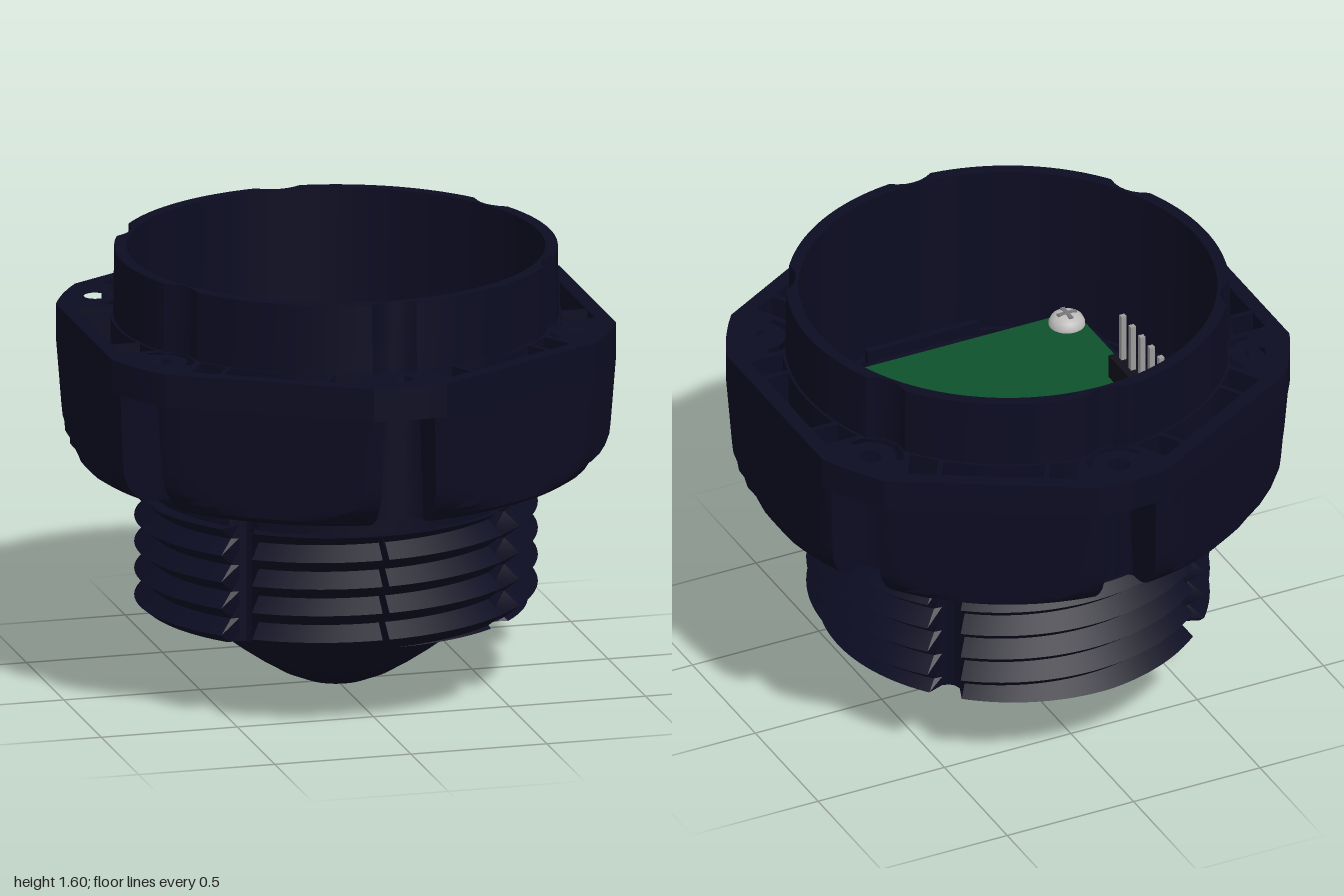
import * as THREE from 'three';
import { toCreasedNormals } from 'three/addons/utils/BufferGeometryUtils.js';

const mat = (name, color) => Object.assign(new THREE.MeshStandardMaterial({ color }), { name });
const RAD = Math.PI / 180;
const HEX = 0.925;      // centre to hexagon flat
const BOLT = 0.8825;    // bolt circle radius
const polar = (r, a, y) => [r * Math.sin(a), y, r * Math.cos(a)];
const degrees = (step) => Array.from({ length: 360 / step }, (_, i) => i * step * RAD);

// Skin closed cross-sections; rings run anticlockwise seen from above
function loft(rings, crease = 0.5) {
  const n = rings[0].length, index = [];
  for (let j = 0; j < rings.length - 1; j++) {
    for (let i = 0; i < n; i++) {
      const a = j * n + i, b = j * n + (i + 1) % n;
      index.push(a, b, b + n, a, b + n, a + n);
    }
  }
  const g = new THREE.BufferGeometry();
  g.setAttribute('position', new THREE.Float32BufferAttribute(rings.flat(2), 3));
  g.setIndex(index);
  return toCreasedNormals(g, crease);
}

// Hexagon with its corners rounded off by a unit circle; f is degrees from a corner
const hexRadius = (f) => Math.min(1, HEX / Math.cos((f - 30) * RAD));

// One level of the flange skirt, with a bolt channel at each corner
function skirtRing(y) {
  const t = (y - 0.8) / 0.43;
  const draft = 0.98 + 0.02 * t;
  const k = Math.min(1, Math.max(0, (0.98 - y) / 0.18));
  const round = 0.8 + 0.18 * Math.sqrt(Math.max(0, 1 - k * k)) + (y > 0.98 ? 0.02 * (y - 0.98) / 0.25 : 0);
  const radius = (f) => Math.min(hexRadius(f) * draft, round);
  const half = 0.105 - 0.015 * t;
  const edge = Math.asin(half / radius(0)) / RAD;
  const ring = [];
  for (let s = 0; s < 6; s++) {
    const a0 = s * 60 * RAD;
    for (const u of [-1, -0.8, -0.4, 0, 0.4, 0.8, 1]) {
      const x = u * half, d = 0.785 - 0.025 * Math.sqrt(1 - u * u);
      ring.push(polar(Math.hypot(x, d), a0 + Math.atan2(x, d), y));
    }
    for (const f of [edge, 7.67, 11, 15, 19, 23, 27, 30, 33, 37, 41, 45, 49, 52.33, 60 - edge]) {
      ring.push(polar(radius(f), a0 + f * RAD, y));
    }
  }
  return ring;
}

// Flange plate with bolt holes, crescents and ribbed pockets
function plateGeometry() {
  const v = (r, a) => new THREE.Vector2(r * Math.sin(a), r * Math.cos(a));
  const outline = [];
  for (let s = 0; s < 6; s++) {
    for (const f of [-7.67, -4, 0, 4, 7.67]) outline.push(v(hexRadius(Math.abs(f)), (s * 60 + f) * RAD));
  }
  const shape = new THREE.Shape(outline);
  const hole = (pts) => shape.holes.push(new THREE.Path(pts));
  hole(degrees(4).map((a) => v(0.745, a)));
  for (let s = 0; s < 6; s++) {
    const a0 = s * 60 * RAD, c = v(BOLT, a0);
    hole(degrees(15).map((a) => v(0.04, a).add(c)));
    const arc = [-70, -45, -20, 0, 20, 45, 70].map((d) => a0 + Math.PI + d * RAD);
    hole([...arc.map((a) => v(0.12, a).add(c)), ...arc.reverse().map((a) => v(0.095, a).add(c))]);
    for (const [from, to] of [[-0.3, -0.2], [-0.18, 0.18], [0.2, 0.3]]) {
      const pts = [];
      for (let i = 0; i <= 6; i++) {
        const w = from + (to - from) * i / 6;
        pts.push([Math.sqrt(0.64 - w * w), w]);
      }
      pts.push([0.87, to], [0.87, from]);
      hole(pts.map(([d, w]) => v(Math.hypot(d, w), a0 + 30 * RAD + Math.atan2(w, d))));
    }
  }
  return new THREE.ExtrudeGeometry(shape, { depth: 0.12, bevelEnabled: false })
    .rotateX(-Math.PI / 2).translate(0, 1.23, 0);
}

// Collar radius, hollowed where it passes each bolt
function collarRadius(a) {
  const f = a - Math.round(a / (60 * RAD)) * 60 * RAD;
  const q = 0.125 ** 2 - (BOLT * Math.sin(f)) ** 2;
  return q > 0 ? Math.min(0.79, BOLT * Math.cos(f) - Math.sqrt(q)) : 0.79;
}

function collarGeometry() {
  const angles = degrees(2);
  const ring = (r, y) => angles.map((a) => polar(r, a, y));
  return loft([
    angles.map((a) => polar(collarRadius(a), a, 1.34)),
    angles.map((a) => polar(collarRadius(a) - 0.004, a, 1.6)),
    // inner wall, then the grooved floor down to the well
    ...[[0.742, 1.6], [0.742, 0.95], [0.725, 0.95], [0.725, 0.9], [0.695, 0.9], [0.695, 0.95],
      [0.65, 0.95], [0.65, 0.9], [0.61, 0.9], [0.6, 0.5], [0.001, 0.5]].map(([r, y]) => ring(r, y)),
  ]);
}

// Helical thread broken by four upright slots
function threadGeometry() {
  const pitch = 0.098, angles = degrees(2), rings = [];
  const slot = (r, a) => {
    const d = (((a / RAD) % 90) - 45) / 4.5;
    return Math.abs(d) < 1 ? Math.min(r, 0.62 + 0.035 * d * d) : r;
  };
  const tooth = (a, y) => {
    const f = y / pitch - a / (2 * Math.PI);
    return 0.655 + 0.06 * (1 - Math.abs(2 * (f - Math.floor(f)) - 1));
  };
  rings.push(angles.map((a) => polar(0.5, a, 0.295)));
  for (let j = 3; j <= 16; j++) {
    rings.push(angles.map((a) => {
      const y = THREE.MathUtils.clamp(pitch * (a / (2 * Math.PI) + j / 2), 0.295, 0.72);
      return polar(slot(tooth(a, y), a), a, y);
    }));
  }
  for (const y of [0.72, 0.81]) rings.push(angles.map((a) => polar(slot(0.665, a), a, y)));
  return loft(rings);
}

export function createModel() {
  const housing = mat('housing navy', 0x0c0c22);
  const board = mat('board green', 0x0f512c);
  const black = mat('connector black', 0x12101a);
  const steel = mat('steel', 0xbdbcba);
  const recess = mat('recess grey', 0x77777a);
  const pinMetal = mat('pin grey', 0x9a9a9c);
  const root = new THREE.Group();
  const add = (name, geo, material, x = 0, y = 0, z = 0, parent = root) => {
    const m = new THREE.Mesh(geo, material);
    m.name = name;
    m.position.set(x, y, z);
    parent.add(m);
    return m;
  };
  const lathe = (pts, seg) => new THREE.LatheGeometry(pts.map((p) => new THREE.Vector2(...p)), seg);

  // Housing
  const flat = (r, y) => skirtRing(1.2).map(([x, , z]) => polar(r, Math.atan2(x, z), y));
  const levels = [0.8, 0.806, 0.82, 0.84, 0.87, 0.9, 0.94, 0.98, 1.1, 1.23];
  add('flangeSkirt', loft([flat(0.6, 0.8), ...levels.map(skirtRing), flat(0.745, 1.23)]), housing);
  add('flangePlate', plateGeometry(), housing);
  add('collar', collarGeometry(), housing);
  add('threadedNeck', threadGeometry(), housing);
  add('dome', lathe([[0, 0], [0.06, 0.004], [0.12, 0.018], [0.2, 0.052], [0.28, 0.1], [0.36, 0.155],
    [0.45, 0.222], [0.54, 0.295], [0.56, 0.31]], 72), housing);

  // Supports around the board
  for (let i = 0; i < 4; i++) {
    const side = new THREE.Group();
    side.name = 'boardSupport';
    side.rotation.y = i * Math.PI / 2;
    root.add(side);
    add('rail', new THREE.BoxGeometry(0.86, 0.1, 0.03), housing, 0, 0.95, 0.55, side);
    add('rib', new THREE.BoxGeometry(0.44, 0.05, 0.025), housing, 0, 0.97, 0.685, side);
  }

  // Circuit board with clipped corners
  const b = 0.525, c = 0.48;
  const outline = [[c, -b], [b, -c], [b, c], [c, b], [-c, b], [-b, c], [-b, -c], [-c, -b]];
  const boardShape = new THREE.Shape(outline.map((p) => new THREE.Vector2(...p)));
  add('circuitBoard', new THREE.ExtrudeGeometry(boardShape, { depth: 0.05, bevelEnabled: false })
    .rotateX(-Math.PI / 2), board, 0, 0.99, 0);

  // Corner screws on posts
  const head = lathe([[0.065, 0], [0.065, 0.012], [0.056, 0.03], [0.04, 0.041], [0.02, 0.046], [0, 0.047]], 28);
  for (const x of [-0.463, 0.463]) {
    for (const z of [-0.463, 0.463]) {
      add('screwPost', new THREE.CylinderGeometry(0.06, 0.06, 0.1, 20), housing, x, 0.94, z);
      add('screwHead', head, steel, x, 1.04, z);
      add('screwSlot', new THREE.BoxGeometry(0.074, 0.008, 0.016), recess, x, 1.084, z);
      add('screwSlot', new THREE.BoxGeometry(0.016, 0.008, 0.074), recess, x, 1.0842, z);
    }
  }

  // Pin header
  add('pinHeader', new THREE.BoxGeometry(0.08, 0.09, 0.38), black, -0.48, 1.085, -0.105);
  for (let i = 0; i < 5; i++) {
    add('headerPin', new THREE.BoxGeometry(0.02, 0.22, 0.02), pinMetal, -0.477, 1.2, -0.257 + i * 0.0755);
  }

  // Plated holes
  for (const [x, rows] of [[0.402, 3], [0.477, 4]]) {
    for (let i = 0; i < rows; i++) {
      const z = 0.098 + i * 0.0755;
      add('solderRing', new THREE.CylinderGeometry(0.028, 0.028, 0.006, 20), steel, x, 1.042, z);
      add('solderHole', new THREE.CylinderGeometry(0.017, 0.017, 0.006, 16), black, x, 1.044, z);
    }
  }
  return root;
}
